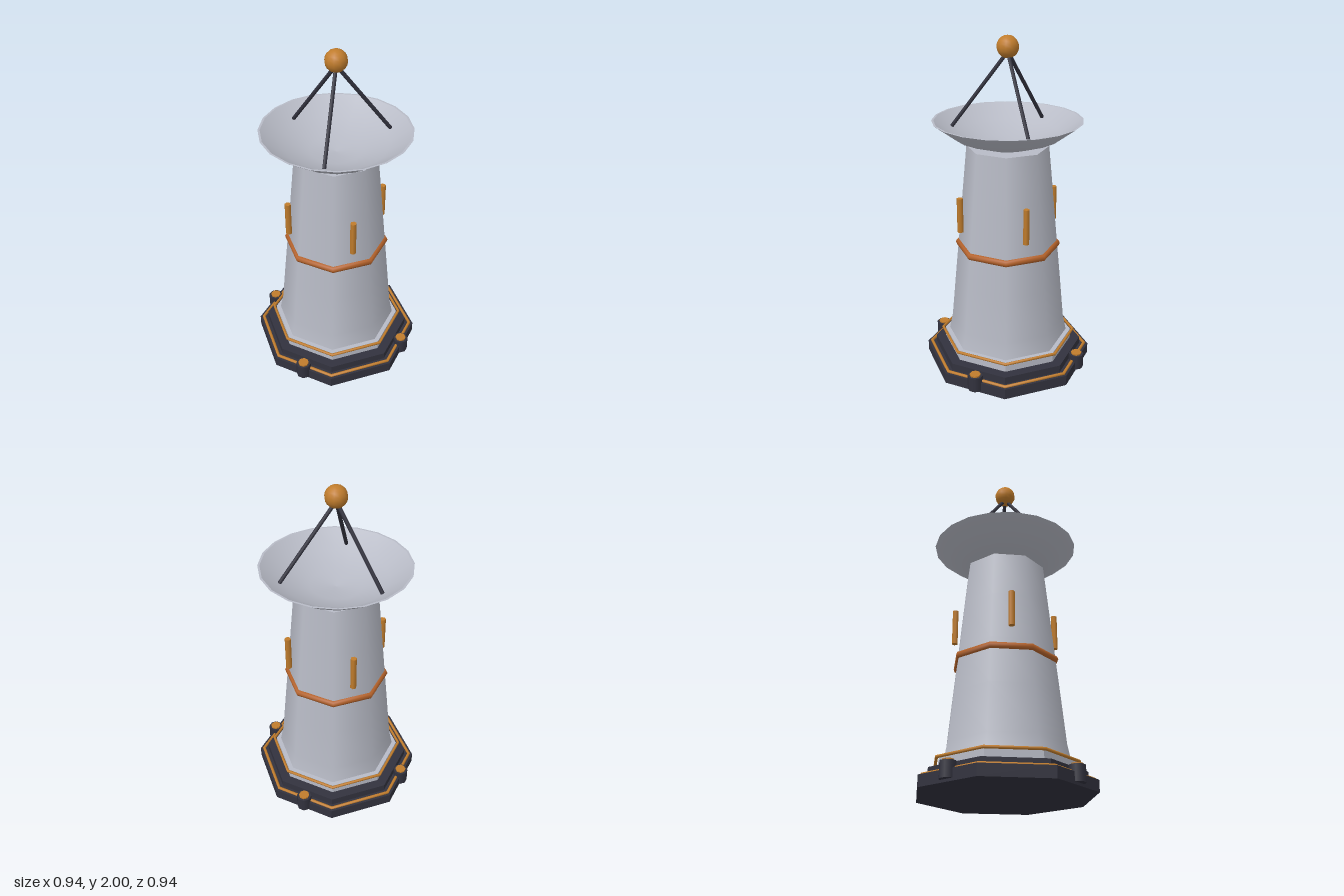
import * as THREE from 'three';

const mat = (name, color, extra = {}) => {
  const m = new THREE.MeshStandardMaterial({ color, ...extra });
  m.name = name;
  return m;
};

export function createModel() {
  const root = new THREE.Group();
  root.name = 'dishTower';
  const hull = mat('pale grey', 0xb8bbc6);
  const dark = mat('dark slate', 0x32323e);
  const gold = mat('gold', 0xc07c2c);
  const copper = mat('copper', 0xb4622a);
  const OCT = 1 / Math.cos(Math.PI / 8); // flat half-width to corner radius

  const add = (name, geo, material, x = 0, y = 0, z = 0, parent = root) => {
    const m = new THREE.Mesh(geo, material);
    m.name = name;
    m.position.set(x, y, z);
    parent.add(m);
    return m;
  };
  // Octagonal slab with flat sides, sized by its half-width
  const slab = (name, bottom, top, y0, y1, material) => {
    const g = new THREE.CylinderGeometry(top * OCT, bottom * OCT, y1 - y0, 8).rotateY(Math.PI / 8);
    const flat = g.toNonIndexed();
    flat.computeVertexNormals();
    return add(name, flat, material, 0, (y0 + y1) / 2, 0);
  };
  // Octagonal ring lying flat
  const ring = (name, halfWidth, tube, y, material) =>
    add(name, new THREE.TorusGeometry(halfWidth * OCT, tube, 8, 8)
      .rotateX(Math.PI / 2).rotateY(Math.PI / 8), material, 0, y, 0);
  const lathe = (pts, segments, start = 0) =>
    new THREE.LatheGeometry(pts.map(p => new THREE.Vector2(p[0], p[1])), segments, start);

  // Stepped base with trim
  slab('basePlate', 0.47, 0.47, 0, 0.065, dark);
  slab('baseStep', 0.42, 0.42, 0.065, 0.11, dark);
  ring('baseTrim', 0.448, 0.01, 0.068, gold);
  slab('towerFoot', 0.365, 0.365, 0.11, 0.17, hull);
  ring('footTrim', 0.378, 0.009, 0.17, gold);

  // Corner posts
  for (const sx of [-1, 1]) for (const sz of [-1, 1]) {
    const post = new THREE.Group();
    post.name = 'cornerPost';
    post.position.set(sx * 0.326, 0, sz * 0.326);
    post.rotation.y = Math.PI / 8;
    add('postBody', new THREE.CylinderGeometry(0.045, 0.045, 0.09, 8), dark, 0, 0.06, 0, post);
    add('postCap', new THREE.CylinderGeometry(0.032, 0.032, 0.014, 8), gold, 0, 0.107, 0, post);
    root.add(post);
  }

  // Tapered tower
  const profile = [[0.34, 0.165], [0.32, 0.27], [0.295, 0.55], [0.27, 0.82], [0.245, 1.1], [0.22, 1.375]];
  add('tower', lathe(profile.map(([r, y]) => [r * OCT, y]), 8, Math.PI / 8), hull);
  add('towerTop', new THREE.CircleGeometry(0.22 * OCT, 8).rotateX(-Math.PI / 2).rotateY(Math.PI / 8), hull, 0, 1.375, 0);
  ring('towerBand', 0.27, 0.022, 0.766, copper);

  // Upright light bars on the four sides
  for (let i = 0; i < 4; i++) {
    const a = i * Math.PI / 2;
    const bar = add('lightBar', new THREE.CylinderGeometry(0.0185, 0.0185, 0.21, 6).rotateY(Math.PI / 2),
      gold, 0.295 * Math.sin(a), 0.985, 0.295 * Math.cos(a));
    bar.rotation.y = a;
  }

  // Thin shallow dish: outer shell, rim, inner shell
  add('dishPivot', new THREE.CylinderGeometry(0.07, 0.07, 0.02, 12), dark, 0, 1.375, 0);
  const outer = [[0, 1.378], [0.155, 1.382], [0.305, 1.435], [0.432, 1.53]];
  const inner = [[0.42, 1.53], [0.3, 1.45], [0.15, 1.4], [0, 1.386]];
  add('dishOuter', lathe(outer, 20), hull);
  add('dishRim', lathe([outer[3], inner[0]], 20), hull);
  add('dishInner', lathe(inner, 20), hull);

  // Tripod struts and feed ball
  const apex = new THREE.Vector3(0, 1.91, 0);
  for (let i = 0; i < 3; i++) {
    const a = i * Math.PI * 2 / 3;
    const foot = new THREE.Vector3(0.325 * Math.cos(a), 1.478, 0.325 * Math.sin(a));
    const dir = apex.clone().sub(foot);
    const strut = add('strut', new THREE.CylinderGeometry(0.011, 0.011, dir.length(), 8), dark);
    strut.position.copy(foot).addScaledVector(dir, 0.5);
    strut.quaternion.setFromUnitVectors(new THREE.Vector3(0, 1, 0), dir.normalize());
  }
  add('feedBall', new THREE.SphereGeometry(0.063, 12, 10), gold, 0, 1.937, 0);
  return root;
}
